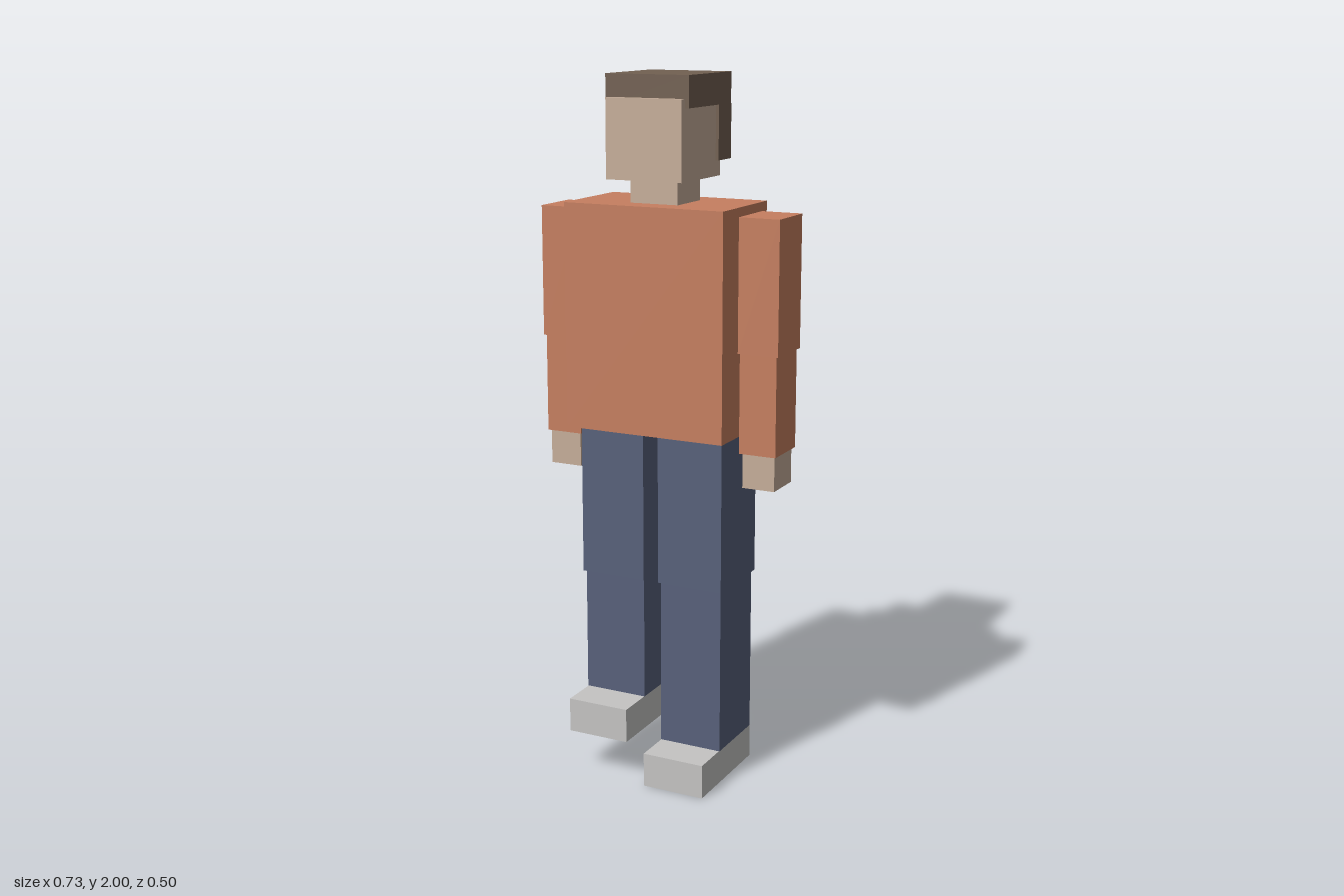
import * as THREE from 'three';

const material = (name, color) => {
  const m = new THREE.MeshStandardMaterial({ color });
  m.name = name;
  return m;
};

export function createModel() {
  const shirt = material('shirt terracotta', 0xc67f60);
  const skin = material('skin', 0xc6ae9a);
  const hair = material('hair brown', 0x726051);
  const denim = material('trouser blue', 0x58617b);
  const shoe = material('shoe grey', 0xc5c4c3);
  const teal = material('backpack teal', 0x53889b);

  const model = new THREE.Group();
  model.name = 'person';

  // Block spanning [min, max] on each axis
  const block = (parent, name, mat, [x0, x1], [y0, y1], [z0, z1]) => {
    const mesh = new THREE.Mesh(new THREE.BoxGeometry(Math.abs(x1 - x0), y1 - y0, z1 - z0), mat);
    mesh.position.set((x0 + x1) / 2, (y0 + y1) / 2, (z0 + z1) / 2);
    mesh.name = name;
    parent.add(mesh);
  };
  const group = (name) => {
    const g = new THREE.Group();
    g.name = name;
    model.add(g);
    return g;
  };

  // Torso and backpack
  block(model, 'torso', shirt, [-0.241, 0.241], [1.02, 1.653], [-0.09, 0.192]);
  block(model, 'backpack', teal, [-0.164, 0.164], [1.153, 1.588], [-0.249, -0.108]);

  // Neck, head and hair
  const head = group('head');
  block(head, 'neck', skin, [-0.072, 0.072], [1.653, 1.72], [-0.017, 0.121]);
  block(head, 'face', skin, [-0.114, 0.114], [1.72, 1.938], [-0.055, 0.182]);
  block(head, 'hairTop', hair, [-0.125, 0.125], [1.914, 2], [-0.101, 0.161]);
  block(head, 'hairBack', hair, [-0.123, 0.123], [1.763, 1.914], [-0.107, -0.027]);

  // Arms and legs; the right foot is lifted
  for (const [side, s, lift] of [['left', 1, 0], ['right', -1, 0.123]]) {
    const span = (a, b) => [s * a, s * b];
    const arm = group(side + 'Arm');
    block(arm, 'upperArm', shirt, span(0.246, 0.365), [1.258, 1.629], [-0.047, 0.104]);
    block(arm, 'forearm', shirt, span(0.25, 0.359), [0.977, 1.258], [-0.039, 0.099]);
    block(arm, 'hand', skin, span(0.257, 0.353), [0.878, 0.977], [-0.027, 0.09]);

    const leg = group(side + 'Leg');
    block(leg, 'thigh', denim, span(0.023, 0.22), [0.582, 1.02], [-0.082, 0.147]);
    block(leg, 'shin', denim, span(0.027, 0.215), [0.099 + lift, 0.582], [-0.071, 0.137]);
    block(leg, 'shoe', shoe, span(0.028, 0.213), [lift, 0.099 + lift], [-0.077, 0.248]);
  }
  return model;
}
